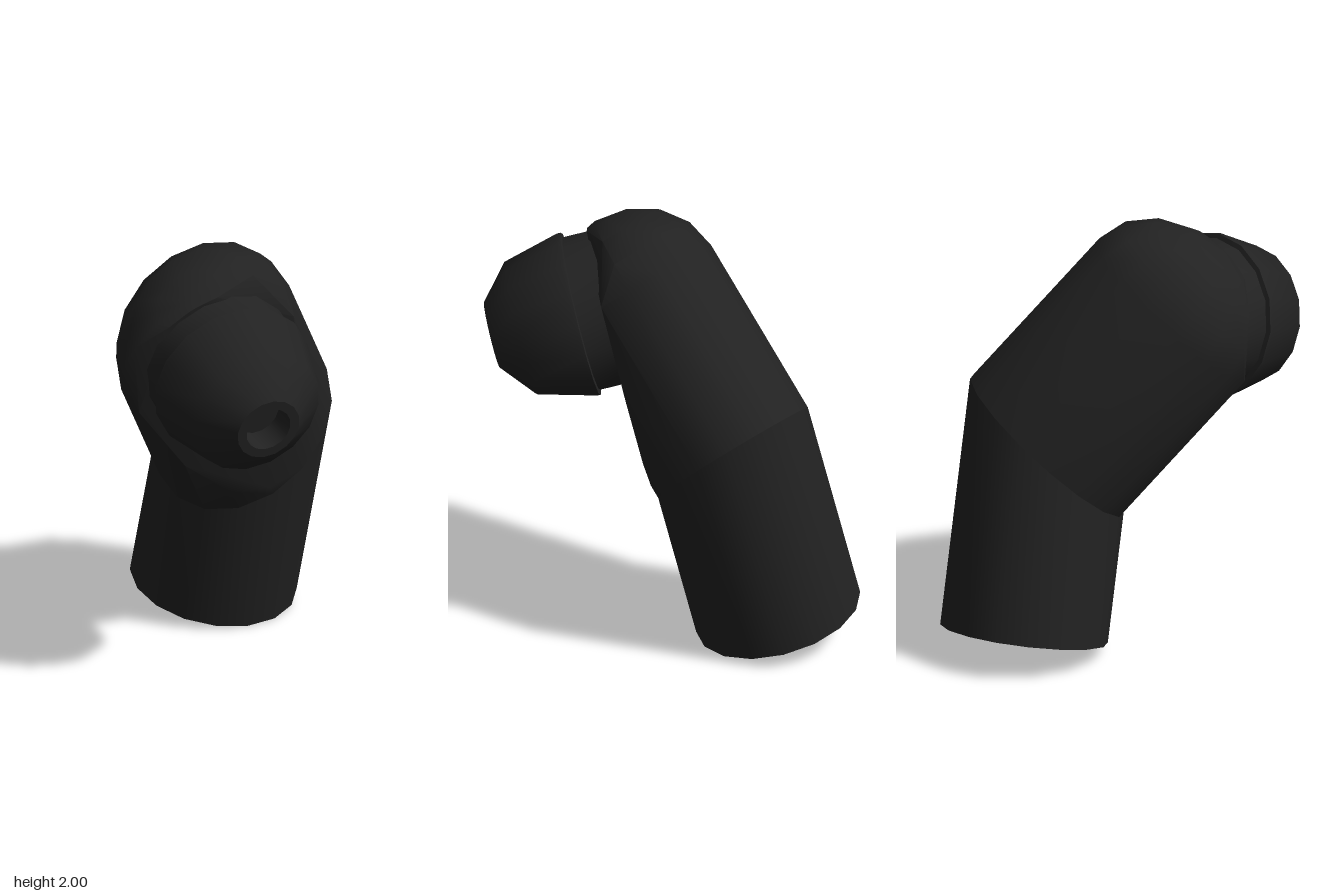
import * as THREE from 'three';
import { toCreasedNormals } from 'three/addons/utils/BufferGeometryUtils.js';
import { ConvexGeometry } from 'three/addons/geometries/ConvexGeometry.js';

const SIDES = 16;
const V3 = (x, y, z) => new THREE.Vector3(x, y, z);
const V2 = (x, y) => new THREE.Vector2(x, y);

export function createModel() {
  const group = new THREE.Group();
  const black = new THREE.MeshStandardMaterial({ color: 0x222222 });
  black.name = 'matte black';

  // Directions of the lower pipe, the upper pipe and the nozzle
  const lowerDir = V3(0.08, 1, 0.24).normalize();
  const upperDir = V3(-0.545, 1, 0.7).normalize();
  const nozzleDir = V3(0.08, -0.246, 1).normalize();
  const base = V3(0.11, 0.1, -0.485);
  const lowerLength = 0.877, radius = 0.386;
  const elbow = base.clone().addScaledVector(lowerDir, lowerLength);
  const side = lowerDir.clone().cross(nozzleDir).normalize();

  const add = (name, geometry, crease = 0.7) => {
    const mesh = new THREE.Mesh(toCreasedNormals(geometry, crease), black);
    mesh.name = name;
    group.add(mesh);
  };
  // Lathe turned so that its axis follows a direction from an origin
  const latheAlong = (profile, axis, origin) => {
    const m = new THREE.Matrix4().makeBasis(side, axis, side.clone().cross(axis).normalize());
    return new THREE.LatheGeometry(profile, SIDES).applyMatrix4(m.setPosition(origin));
  };

  // Lower pipe: hollow from below, its top rim slanted square to the upper pipe
  const lower = latheAlong([
    V2(0, 0.55), V2(0.265, 0.55), V2(0.265, 0), V2(radius, 0), V2(radius, lowerLength),
  ], lowerDir, base);
  const pos = lower.attributes.position, p = V3(), rim = [];
  for (let i = 0; i < pos.count; i++) {
    p.fromBufferAttribute(pos, i);
    if (p.clone().sub(base).dot(lowerDir) < lowerLength - 0.01) continue;
    const t = p.clone().sub(elbow).dot(upperDir) / lowerDir.dot(upperDir);
    p.addScaledVector(lowerDir, -t);
    pos.setXYZ(i, p.x, p.y, p.z);
    if (rim.length < SIDES) rim.push(p.clone().sub(elbow));
  }
  add('lowerPipe', lower);

  // Upper pipe: the slanted rim carried on to a dome, cut flat behind the nozzle
  const cut = -0.079, upperLength = 0.862, domeHeight = 0.37, rows = 4;
  const points = [];
  for (const r of rim) {
    const line = [elbow.clone().add(r)];
    for (let k = 0; k <= rows; k++) {
      const a = (k / rows) * Math.PI / 2;
      line.push(elbow.clone()
        .addScaledVector(upperDir, upperLength + domeHeight * Math.sin(a))
        .addScaledVector(r, Math.cos(a)));
    }
    line.forEach((q, i) => {
      const d = q.dot(nozzleDir) - cut;
      if (d <= 0) points.push(q);
      if (i === 0) return;
      const e = line[i - 1].dot(nozzleDir) - cut;
      if (d * e < 0) points.push(line[i - 1].clone().lerp(q, e / (e - d)));
    });
  }
  add('upperPipe', new ConvexGeometry(points));

  // Nozzle: neck, lip, tapering head and a blind hole
  const lip = V3(-0.14, 1.485, 0.44);
  const origin = lip.addScaledVector(nozzleDir, -lip.dot(nozzleDir));
  add('nozzleNeck', latheAlong([V2(0.362, -0.12), V2(0.362, 0.05)], nozzleDir, origin));
  add('nozzleHead', latheAlong([
    V2(0.355, 0.04), V2(0.385, 0.045), V2(0.385, 0.062), V2(0.315, 0.326),
    V2(0.155, 0.462), V2(0.11, 0.462), V2(0.11, 0.33), V2(0, 0.33),
  ], nozzleDir, origin));

  return group;
}
